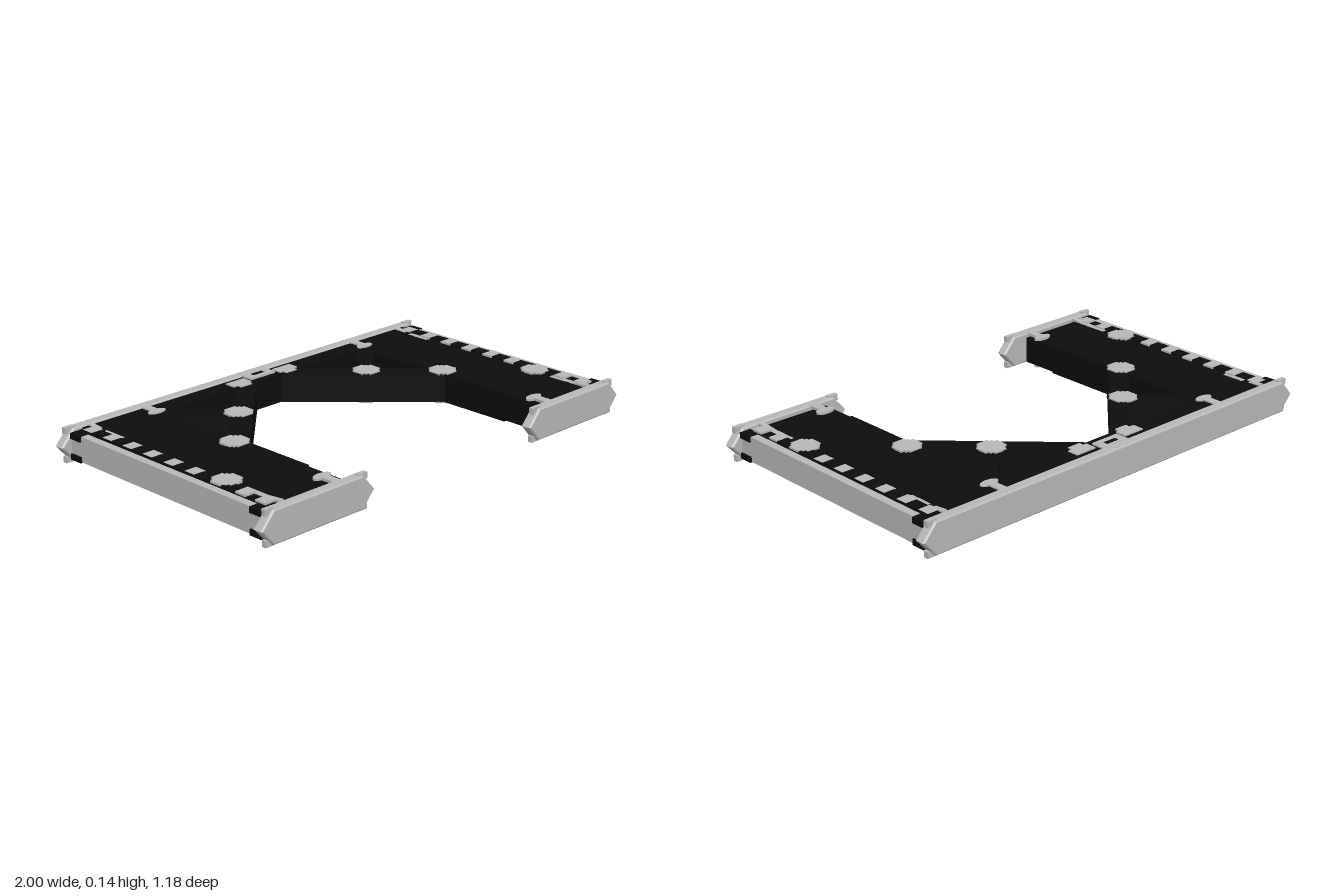
import * as THREE from 'three';

export function createModel() {
  const model = new THREE.Group();
  model.name = 'frame';
  const grey = new THREE.MeshStandardMaterial({ color: 0xb8b8b8 });
  grey.name = 'light grey';
  const black = new THREE.MeshStandardMaterial({ color: 0x0d0d0d });
  black.name = 'black';
  const MID = 0.0725; // the frame is mirrored above and below this height

  function add(name, geometry, material, x, y, z) {
    const mesh = new THREE.Mesh(geometry, material);
    mesh.name = name;
    mesh.position.set(x, y, z);
    model.add(mesh);
    return mesh;
  }
  const box = (name, material, w, h, d, x, y, z) =>
    add(name, new THREE.BoxGeometry(w, h, d), material, x, y, z);
  const outline = (points) => new THREE.Shape(points.map(([x, y]) => new THREE.Vector2(x, y)));

  // Bumper plate with pointed ends and a small chamfer, spanning x0 to x1
  function bumper(name, x0, x1, z) {
    const b = 0.006, h = 0.0675 - b, tip = 0.06;
    const shape = outline([
      [x0 + b, 0], [x0 + tip, -h], [x1 - tip, -h],
      [x1 - b, 0], [x1 - tip, h], [x0 + tip, h],
    ]);
    const geometry = new THREE.ExtrudeGeometry(shape, {
      depth: 0.046 - 2 * b, bevelSize: b, bevelThickness: b, bevelSegments: 1,
    });
    geometry.translate(0, 0, -(0.046 - 2 * b) / 2);
    add(name, geometry, grey, 0, MID, z);
  }
  bumper('backBumper', -1, 1, -0.565);
  bumper('leftFrontBumper', 0.44, 1, 0.565);
  bumper('rightFrontBumper', -1, -0.44, 0.565);

  // Stepped cross gusset lying flat
  const a = 0.028, c = 0.04, e = 0.054;
  const quarter = [[e, -a], [e, a], [c, a], [c, c], [a, c]];
  const points = [];
  for (let i = 0; i < 4; i++) {
    for (const [x, y] of quarter) {
      points.push([[x, y], [-y, x], [-x, -y], [y, -x]][i]);
    }
  }
  const gusset = new THREE.ExtrudeGeometry(outline(points), { depth: 0.008, bevelEnabled: false });
  gusset.rotateX(-Math.PI / 2).translate(0, -0.004, 0);

  // Tapered corner arm, side profile running along z
  const arm = new THREE.ExtrudeGeometry(
    outline([[0, -0.012], [0.19, -0.012], [0.19, 0.008], [0.11, 0], [0, 0]]),
    { depth: 0.024, bevelEnabled: false });
  arm.rotateY(-Math.PI / 2).translate(0.012, 0, 0);

  // Back beam
  box('backBeam', black, 1.8, 0.122, 0.09, 0, MID, -0.5);

  // Diagonal beam between two points in plan
  function beam(name, x0, z0, x1, z1, width, height) {
    const mesh = box(name, black, Math.hypot(x1 - x0, z1 - z0), height, width,
      (x0 + x1) / 2, MID, (z0 + z1) / 2);
    mesh.rotation.y = -Math.atan2(z1 - z0, x1 - x0);
  }

  for (const s of [1, -1]) {
    // Side deck, outer wall and diagonal bracing
    box('deck', black, 0.365, 0.112, 1.065, s * 0.7375, MID, -0.0075);
    box('innerGirder', black, 0.06, 0.122, 0.9, s * 0.582, MID, -0.09);
    box('sideWall', grey, 0.035, 0.106, 1.082, s * 0.937, MID, 0);
    beam('mainBrace', s * 0.6, 0.02, s * 0.1, -0.48, 0.085, 0.122);
    beam('crossBrace', s * 0.34, -0.22, s * 0.59, -0.47, 0.07, 0.118);

    for (const v of [1, -1]) {
      const top = MID + v * 0.062;
      // Outer flange and low ribs on the deck
      box('outerFlange', black, 0.05, 0.008, 0.88, s * 0.893, MID + v * 0.059, -0.08);
      for (let i = 0; i < 9; i++) {
        box('deckRib', black, 0.2, 0.006, 0.02, s * 0.74, MID + v * 0.058, -0.43 + i * 0.11);
      }
      // Row of edge tabs
      for (const z of [-0.49, -0.37, -0.25, -0.13, -0.01, 0.11, 0.385, 0.49]) {
        box('edgeTab', grey, 0.055, 0.012, 0.052, s * 0.89, MID + v * 0.058, z);
      }
      // Cross gussets over the joints
      for (const [x, z] of [[0.585, -0.013], [0.36, -0.24], [0.865, 0.255]]) {
        add('gusset', gusset, grey, s * x, top, z);
      }
      box('braceEndGusset', grey, 0.098, 0.008, 0.05, s * 0.13, top, -0.495);
      box('braceEndGussetFoot', grey, 0.06, 0.008, 0.035, s * 0.127, top, -0.466);

      for (const f of [1, -1]) {
        // Bumper clip: short stem with a rounded foot
        const x = s * (f > 0 ? 0.597 : 0.585);
        box('clipStem', grey, 0.036, 0.014, 0.09, x, MID + v * 0.06, f * 0.506);
        const foot = add('clipFoot', new THREE.CylinderGeometry(0.021, 0.021, 0.012, 16),
          grey, x, MID + v * 0.06, f * 0.472);
        foot.scale.x = 2;
        // Tapered corner arm
        const mesh = add('cornerArm', arm.clone(), grey, s * 0.86, MID + v * 0.059, f * 0.35);
        if (f * v > 0) {
          mesh.rotation.z = v > 0 ? 0 : Math.PI;
          mesh.rotation.y = v > 0 ? 0 : Math.PI;
        } else if (v > 0) {
          mesh.rotation.y = Math.PI;
        } else {
          mesh.rotation.z = Math.PI;
        }
        // Corner blocks and bumper pins
        box('cornerBlock', black, 0.05, 0.024, 0.06, s * 0.937, MID + v * 0.043, f * 0.511);
        box('bumperPin', grey, 0.045, 0.026, 0.02, s * 0.95, MID + v * 0.0595, f * 0.566);
        // Pin on the inner ends of the front bumpers
        if (f > 0) box('innerBumperPin', grey, 0.045, 0.026, 0.02, s * 0.49, MID + v * 0.0595, 0.566);
      }
    }
  }

  // Slotted plates at the middle of the back beam
  for (const v of [1, -1]) {
    box('centrePlate', grey, 0.135, 0.016, 0.06, 0, MID + v * 0.06, -0.516);
    box('centreSlot', black, 0.06, 0.004, 0.02, 0, MID + v * 0.067, -0.522);
  }
  return model;
}
